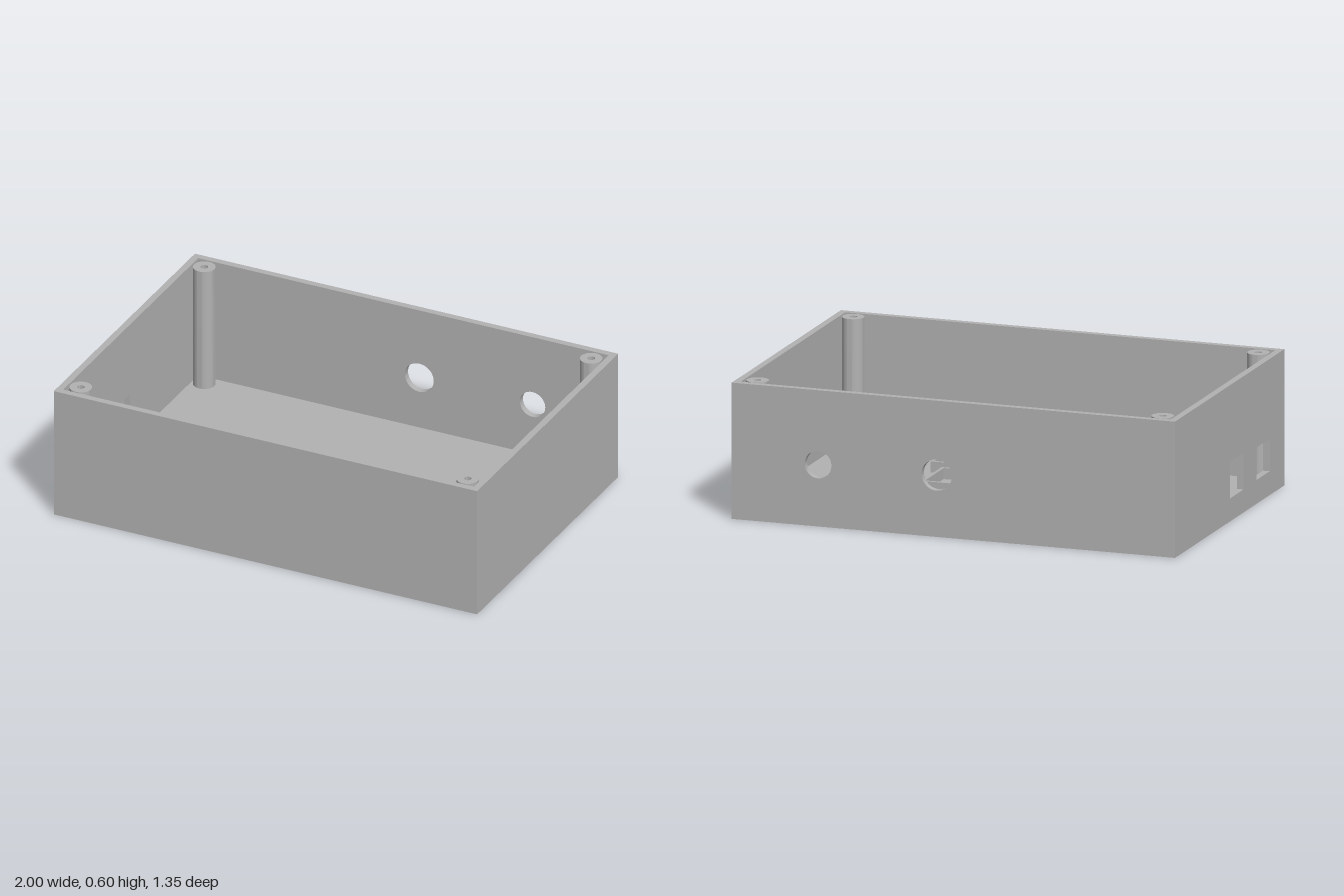
import * as THREE from 'three';
import { toCreasedNormals } from 'three/addons/utils/BufferGeometryUtils.js';

const W = 2, H = 0.595, D = 1.354;   // outer size
const T = 0.03;                      // wall and floor thickness

export function createModel() {
  const group = new THREE.Group();
  const grey = new THREE.MeshStandardMaterial({ color: 0xb2b2b2 });
  grey.name = 'grey plastic';

  const add = (name, geometry, x = 0, y = 0, z = 0) => {
    const mesh = new THREE.Mesh(geometry, grey);
    mesh.name = name;
    mesh.position.set(x, y, z);
    group.add(mesh);
    return mesh;
  };

  const trace = (path, x0, y0, x1, y1) =>
    path.moveTo(x0, y0).lineTo(x1, y0).lineTo(x1, y1).lineTo(x0, y1).closePath();
  const rect = (...corners) => trace(new THREE.Shape(), ...corners);
  const rectHole = (...corners) => trace(new THREE.Path(), ...corners);
  const roundHole = (x, y, r) => new THREE.Path().absarc(x, y, r, 0, Math.PI * 2, true);

  const extrude = (shape, holes, depth) => {
    shape.holes.push(...holes);
    const g = new THREE.ExtrudeGeometry(shape, { depth, bevelEnabled: false, curveSegments: 32 });
    return toCreasedNormals(g, 0.6);
  };

  // Floor and plain walls
  const wallH = H - T;
  add('floor', new THREE.BoxGeometry(W, T, D), 0, T / 2, 0);
  add('frontWall', new THREE.BoxGeometry(W, wallH, T), 0, T + wallH / 2, D / 2 - T / 2);
  add('leftWall', new THREE.BoxGeometry(T, wallH, D - 2 * T), W / 2 - T / 2, T + wallH / 2, 0);

  // Back wall with two round cable holes
  add('backWall', extrude(rect(-W / 2, T, W / 2, H),
    [roundHole(0.61, 0.27, 0.06), roundHole(0.075, 0.27, 0.068)], T), 0, 0, -D / 2);

  // Right wall with two connector windows
  const side = extrude(rect(-D / 2 + T, T, D / 2 - T, H),
    [rectHole(0.005, 0.1, 0.173, 0.26), rectHole(0.335, 0.104, 0.497, 0.246)], T);
  side.rotateY(-Math.PI / 2);
  add('rightWall', side, -W / 2 + T, 0, 0);

  // Hollow screw posts
  const post = (name, x, z, r, bore, top) => {
    const ring = new THREE.Shape().absarc(0, 0, r, 0, Math.PI * 2, false);
    const g = extrude(ring, [roundHole(0, 0, bore)], top - T);
    g.rotateX(-Math.PI / 2);
    add(name, g, x, T, z);
  };
  for (const x of [-0.914, 0.914])
    for (const z of [-0.592, 0.592]) post('cornerPost', x, z, 0.048, 0.016, H - 0.001);
  for (const [x, z] of [[-0.765, -0.053], [-0.776, 0.467], [-0.217, 0.112], [-0.217, 0.412]])
    post('boardStandoff', x, z, 0.034, 0.016, 0.106);

  // Low rectangular retaining frames on the floor
  const rim = 0.014, frameTop = 0.078;
  for (const [x0, z0, x1, z1] of [
    [-0.123, -0.07, 0.367, 0.187],
    [-0.123, 0.265, 0.446, 0.575],
    [0.519, 0.03, 0.767, 0.227],
    [0.519, 0.319, 0.777, 0.575],
  ]) {
    const g = extrude(rect(x0, -z1, x1, -z0),
      [rectHole(x0 + rim, -z1 + rim, x1 - rim, -z0 - rim)], frameTop - T);
    g.rotateX(-Math.PI / 2);
    add('retainingFrame', g, 0, T, 0);
  }

  return group;
}
